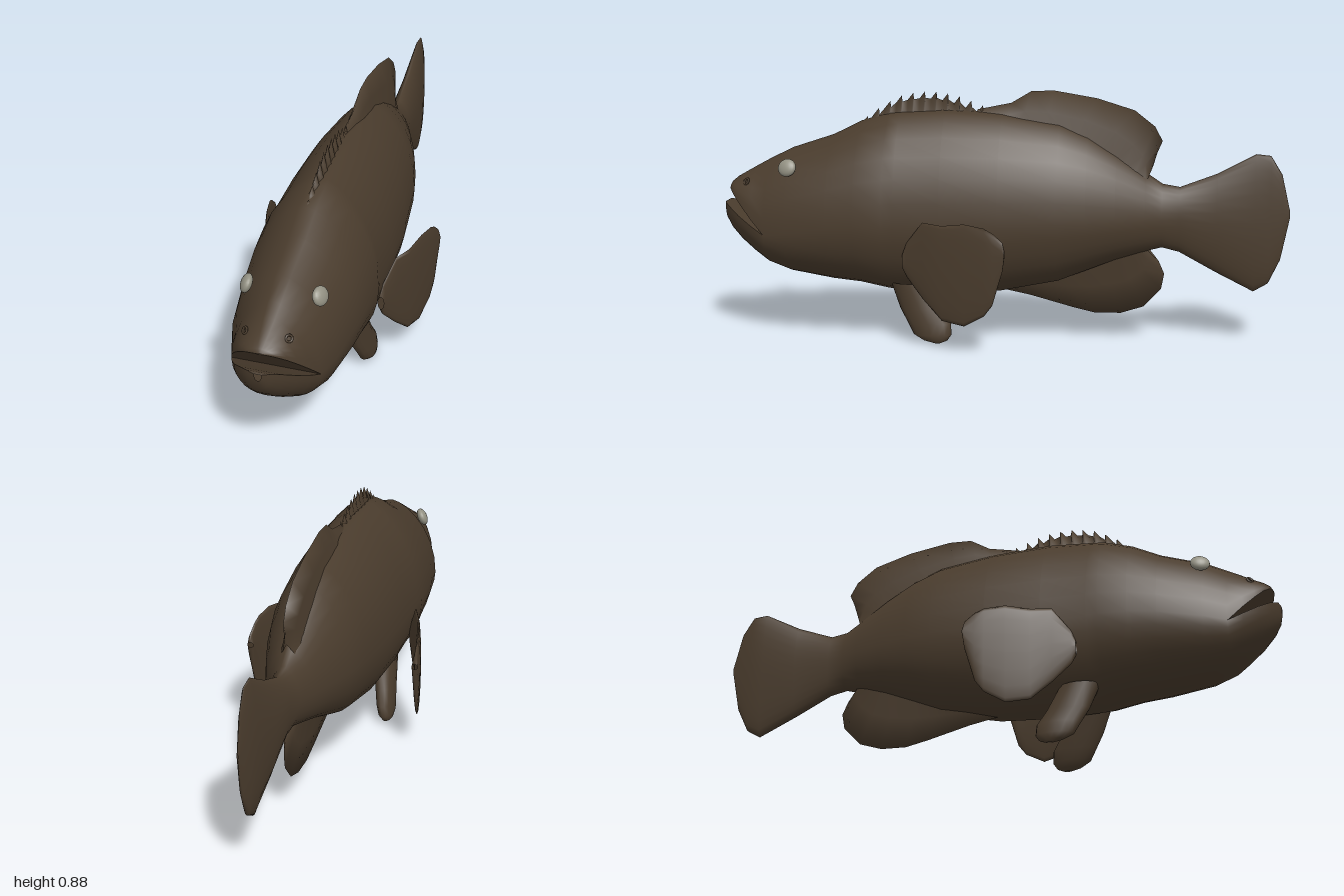
import * as THREE from 'three';
import { mergeVertices, mergeGeometries } from 'three/addons/utils/BufferGeometryUtils.js';

const skin = new THREE.MeshStandardMaterial({ color: 0x4a3c2d, side: THREE.DoubleSide });
skin.name = 'brownSkin';
const eyeGrey = new THREE.MeshStandardMaterial({ color: 0x939183 });
eyeGrey.name = 'eyeGrey';

// Surface through a list of rings, each an array of [x, y, z]
function loft(rings) {
  const n = rings[0].length, index = [];
  for (let i = 0; i < rings.length - 1; i++) {
    for (let k = 0; k < n - 1; k++) {
      const a = i * n + k, b = a + 1, c = a + n, d = c + 1;
      index.push(a, c, b, b, c, d);
    }
  }
  const g = new THREE.BufferGeometry();
  g.setAttribute('position', new THREE.Float32BufferAttribute(rings.flat(2), 3));
  g.setIndex(index);
  return g;
}

function smooth(...parts) {
  const g = mergeVertices(parts.length > 1 ? mergeGeometries(parts) : parts[0], 1e-4);
  g.computeVertexNormals();
  return g;
}

function mesh(name, geometry, material = skin) {
  const m = new THREE.Mesh(geometry, material);
  m.name = name;
  return m;
}

// Points along an arc, for k steps from angle a0 to a1
function arc(a0, a1, steps, point) {
  return Array.from({ length: steps + 1 }, (_, k) => {
    const a = a0 + (a1 - a0) * k / steps;
    return point(Math.cos(a), Math.sin(a));
  });
}
const power = (v, p) => Math.sign(v) * Math.pow(Math.abs(v) < 1e-9 ? 0 : Math.abs(v), p);

// Half shell of the body: stations are [z, seam y, edge y, half width]
function shell(stations, upper) {
  const a0 = upper ? 0 : Math.PI, p = upper ? 1.3 : 0.85;
  return loft(stations.map(([z, s, e, w]) => arc(a0, a0 + Math.PI, 14,
    (c, sn) => [w * power(c, p), s + (e - s) * Math.abs(sn), z])));
}

// Median fin, thick at the root: stations are [root z, root y, tip z, tip y]
function medianFin(stations, t) {
  return smooth(loft(stations.map(([zb, yb, zt, yt]) => {
    const side = yt > yb ? 1 : -1;
    return [1, 0.5, 0, -0.5, -1].map((u) => {
      const f = 1 - Math.abs(u);
      return [side * t * (u * 0.85 + Math.sign(u) * 0.15 * (1 - f)), yb + (yt - yb) * f, zb + (zt - zb) * f];
    });
  })));
}

export function createModel() {
  const fish = new THREE.Group();
  fish.name = 'fish';

  // Trunk and tail fin: [z, top, seam, bottom, half width]
  const trunk = [
    [0.83, 0.625, 0.372, 0.255, 0.15], [0.75, 0.665, 0.385, 0.225, 0.178],
    [0.6, 0.715, 0.41, 0.2, 0.2], [0.5, 0.765, 0.42, 0.19, 0.208],
    [0.4, 0.795, 0.42, 0.17, 0.214], [0.36, 0.8, 0.42, 0.165, 0.206],
    [0.2, 0.81, 0.42, 0.16, 0.205], [0, 0.8, 0.43, 0.17, 0.198],
    [-0.2, 0.77, 0.44, 0.21, 0.175], [-0.3, 0.73, 0.44, 0.25, 0.152],
    [-0.4, 0.67, 0.44, 0.29, 0.12], [-0.5, 0.6, 0.44, 0.32, 0.082],
    [-0.56, 0.56, 0.44, 0.335, 0.055], [-0.62, 0.55, 0.44, 0.32, 0.044],
    [-0.75, 0.6, 0.43, 0.25, 0.04], [-0.88, 0.67, 0.43, 0.185, 0.028],
    [-0.93, 0.665, 0.43, 0.215, 0.02], [-0.97, 0.6, 0.43, 0.3, 0.01],
    [-1, 0.47, 0.46, 0.45, 0.002],
  ];
  // Snout and lower jaw part from each other along the mouth: [z, seam, edge, half width]
  const snout = [
    [0.978, 0.527, 0.53, 0.01], [0.97, 0.52, 0.542, 0.05], [0.95, 0.5, 0.558, 0.08],
    [0.92, 0.468, 0.575, 0.105], [0.88, 0.425, 0.598, 0.13],
  ];
  const jaw = [
    [1, 0.465, 0.44, 0.012], [0.992, 0.469, 0.405, 0.04], [0.97, 0.458, 0.37, 0.07],
    [0.93, 0.432, 0.33, 0.104], [0.88, 0.401, 0.29, 0.13],
  ];
  const upper = snout.concat(trunk.map(([z, t, s, b, w]) => [z, s, t, w]));
  const lower = jaw.concat(trunk.map(([z, t, s, b, w]) => [z, s, b, w]));
  fish.add(mesh('body', smooth(shell(upper, true), shell(lower, false))));

  // Roof and floor of the mouth
  const palate = (list, side) => smooth(loft(list.slice(0, 6).map(([z, s, e, w]) =>
    [[-side * w, s, z], [side * w, s, z]])));
  fish.add(mesh('mouthRoof', palate(upper, 1)), mesh('mouthFloor', palate(lower, -1)));

  // Spiny front dorsal fin
  const spines = [];
  [0.78, 0.81, 0.835, 0.855, 0.865, 0.87, 0.87, 0.865, 0.855, 0.84, 0.825].forEach((h, i) => {
    const z = 0.5 - i * 0.041;
    spines.push([z, 0.72, z, h - 0.025], [z - 0.01, 0.72, z - 0.02, h], [z - 0.016, 0.72, z - 0.022, h - 0.022]);
  });
  fish.add(mesh('spinyDorsalFin', medianFin(spines, 0.03)));

  // Soft rear dorsal fin
  fish.add(mesh('softDorsalFin', medianFin([
    [0.09, 0.76, 0.09, 0.81], [0, 0.75, -0.03, 0.835], [-0.06, 0.74, -0.1, 0.877],
    [-0.14, 0.73, -0.18, 0.88], [-0.25, 0.7, -0.33, 0.855], [-0.33, 0.66, -0.46, 0.815],
    [-0.38, 0.63, -0.53, 0.76], [-0.42, 0.61, -0.557, 0.71], [-0.46, 0.59, -0.54, 0.67],
    [-0.5, 0.56, -0.525, 0.62],
  ], 0.035)));

  // Anal fin
  fish.add(mesh('analFin', medianFin([
    [0, 0.22, 0, 0.17], [-0.1, 0.24, -0.1, 0.15], [-0.2, 0.27, -0.25, 0.11],
    [-0.28, 0.29, -0.33, 0.092], [-0.35, 0.31, -0.42, 0.094], [-0.4, 0.32, -0.5, 0.12],
    [-0.43, 0.33, -0.56, 0.185], [-0.46, 0.34, -0.57, 0.24], [-0.48, 0.36, -0.55, 0.285],
    [-0.5, 0.37, -0.5, 0.32],
  ], 0.035)));

  // Pectoral fin sections: [z, x, top, bottom]
  const pectoral = smooth(loft([
    [0.325, 0.2, 0.33, 0.28], [0.31, 0.203, 0.37, 0.25], [0.25, 0.23, 0.448, 0.18],
    [0.18, 0.258, 0.443, 0.112], [0.1, 0.28, 0.455, 0.1], [0.03, 0.295, 0.445, 0.14],
    [0, 0.3, 0.43, 0.18], [-0.035, 0.303, 0.4, 0.3], [-0.042, 0.303, 0.37, 0.35],
  ].map(([z, x, t, b]) => arc(0, 2 * Math.PI, 16,
    (c, s) => [x + 0.011 * c, (t + b) / 2 + (t - b) / 2 * s, z]))));

  // Pelvic fin sections: [y, z, half length, x, half thickness]
  const pelvic = smooth(loft([
    [0.21, 0.315, 0.07, 0.1, 0.045], [0.12, 0.275, 0.075, 0.115, 0.036],
    [0.07, 0.245, 0.077, 0.125, 0.032], [0.03, 0.233, 0.067, 0.132, 0.028],
    [0.01, 0.222, 0.042, 0.138, 0.018], [0, 0.215, 0.01, 0.14, 0.005],
  ].map(([y, z, hz, x, hx]) => arc(0, 2 * Math.PI, 16, (c, s) => [x + hx * c, y, z - hz * s]))));

  // Paired parts, mirrored left and right
  for (const side of [1, -1]) {
    const pair = new THREE.Group();
    pair.name = side > 0 ? 'leftParts' : 'rightParts';
    pair.scale.x = side;

    const eye = mesh('eye', new THREE.SphereGeometry(1, 20, 14), eyeGrey);
    eye.scale.set(0.018, 0.032, 0.034);
    eye.position.set(0.122, 0.61, 0.745);
    eye.rotation.set(0, -0.3, 0.42);

    const nostril = mesh('nostril', new THREE.TorusGeometry(0.011, 0.004, 6, 12));
    nostril.position.set(0.072, 0.55, 0.905);
    nostril.rotation.set(-0.7, 0.7, 0);

    pair.add(eye, nostril, mesh('pectoralFin', pectoral), mesh('pelvicFin', pelvic));
    fish.add(pair);
  }
  return fish;
}
